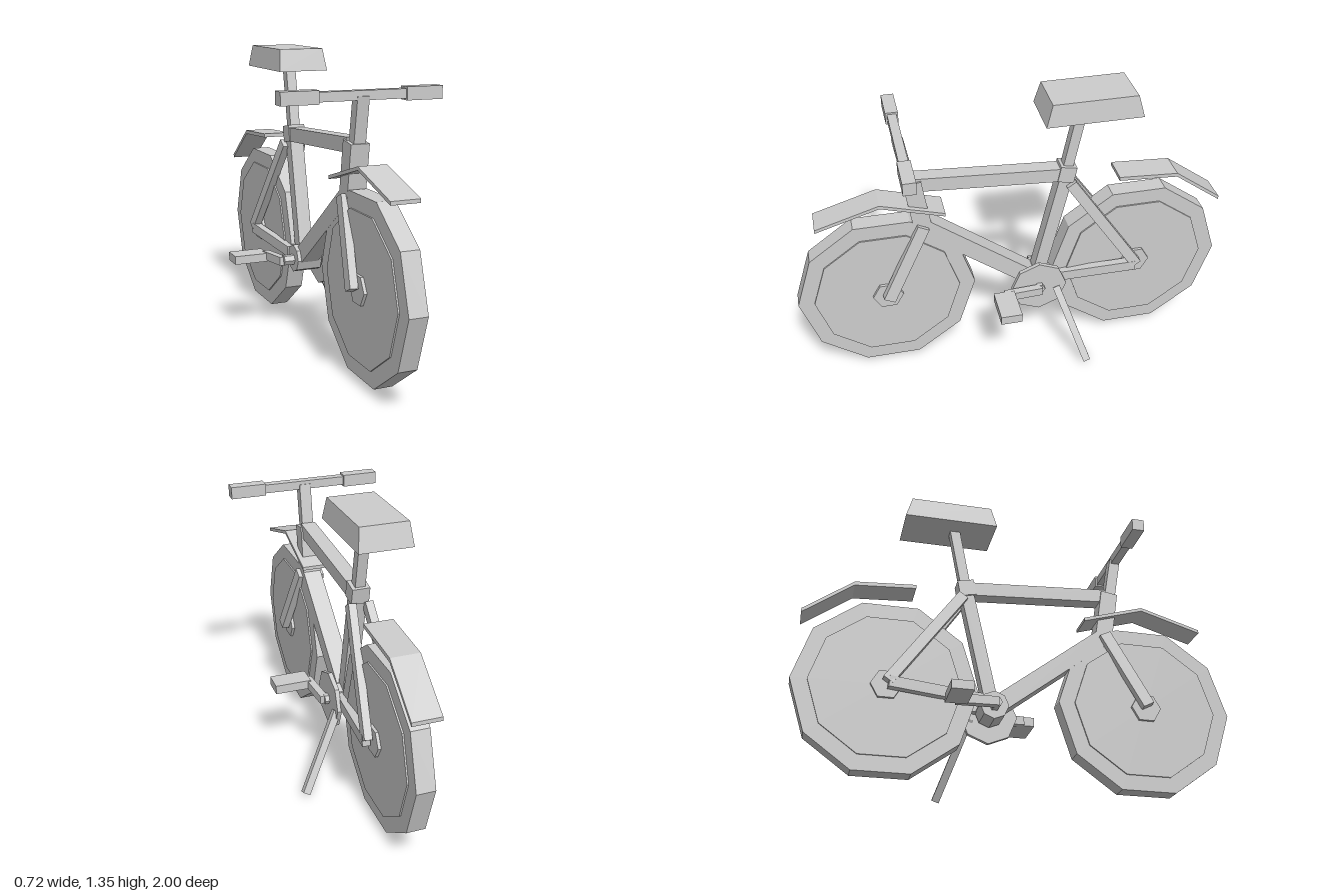
import * as THREE from 'three';

const material = new THREE.MeshStandardMaterial({ color: 0xcccccc, flatShading: true });

export function createModel() {
  const model = new THREE.Group();
  model.name = 'bicycle';

  const add = (name, geometry, parent = model) => {
    const mesh = new THREE.Mesh(geometry, material);
    mesh.name = name;
    parent.add(mesh);
    return mesh;
  };

  // Upright box given by its centre and size
  const box = (name, size, centre) =>
    add(name, new THREE.BoxGeometry(...size).translate(...centre));

  // Square tube from a to b, w wide across the bike and h deep
  const bar = (name, a, b, w, h = w) => {
    const start = new THREE.Vector3(...a), end = new THREE.Vector3(...b);
    const dir = end.clone().sub(start);
    const length = dir.length();
    dir.normalize();
    const side = new THREE.Vector3(1, 0, 0).addScaledVector(dir, -dir.x).normalize();
    const up = new THREE.Vector3().crossVectors(dir, side);
    const geometry = new THREE.BoxGeometry(w, h, length);
    geometry.applyMatrix4(new THREE.Matrix4().makeBasis(side, up, dir));
    const mid = start.add(end).multiplyScalar(0.5);
    return add(name, geometry.translate(mid.x, mid.y, mid.z));
  };

  // Faceted disc lying across the bike
  const disc = (name, radius, width, sides, [x, y, z], parent) =>
    add(name, new THREE.CylinderGeometry(radius, radius, width, sides)
      .rotateZ(Math.PI / 2).translate(x, y, z), parent);

  // Wheels: tyre, slightly raised inner disc and hub
  for (const [name, z] of [['frontWheel', 0.592], ['rearWheel', -0.592]]) {
    const wheel = new THREE.Group();
    wheel.name = name;
    model.add(wheel);
    disc('tyre', 0.408, 0.084, 10, [0, 0.42, z], wheel);
    disc('wheelDisc', 0.335, 0.098, 10, [0, 0.42, z], wheel);
    disc('hub', 0.07, 0.126, 6, [0, 0.42, z], wheel);
  }

  // Main frame
  bar('headTube', [0, 1.005, 0.445], [0, 0.77, 0.41], 0.085, 0.08);
  bar('topTube', [0, 0.99, 0.43], [0, 0.945, -0.24], 0.07, 0.065);
  bar('downTube', [0, 0.765, 0.405], [0, 0.385, -0.09], 0.085, 0.08);
  bar('seatTube', [0, 0.95, -0.25], [0, 0.4, -0.125], 0.065, 0.06);
  bar('seatCollar', [0, 0.985, -0.255], [0, 0.91, -0.24], 0.08, 0.075);

  // Fork blades and rear stays, mirrored
  for (const s of [-1, 1]) {
    bar('forkBlade', [s * 0.045, 0.775, 0.41], [s * 0.085, 0.42, 0.592], 0.036, 0.055);
    bar('seatStay', [s * 0.038, 0.9, -0.265], [s * 0.085, 0.425, -0.59], 0.036, 0.05);
    bar('chainStay', [s * 0.05, 0.39, -0.17], [s * 0.085, 0.42, -0.585], 0.036, 0.05);
  }
  bar('forkCrown', [-0.06, 0.775, 0.41], [0.06, 0.775, 0.41], 0.05);

  // Stem, handlebar and grips
  bar('stem', [0, 1.2, 0.487], [0, 0.98, 0.45], 0.054, 0.05);
  box('handlebar', [0.42, 0.04, 0.04], [0, 1.2, 0.487]);
  for (const s of [-1, 1]) box('grip', [0.165, 0.056, 0.056], [s * 0.277, 1.2, 0.487]);

  // Seat post and tapered seat
  bar('seatPost', [0, 1.26, -0.31], [0, 0.96, -0.25], 0.046);
  const seat = new THREE.BoxGeometry(0.234, 0.1, 0.43);
  const corners = seat.attributes.position;
  for (let i = 0; i < corners.count; i++) {
    if (corners.getY(i) > 0) {
      corners.setX(i, corners.getX(i) * 0.9);
      corners.setZ(i, corners.getZ(i) * 0.87);
    }
  }
  seat.computeVertexNormals();
  add('seat', seat.translate(0, 1.3, -0.34));

  // Fenders: bent strips, outline points are [z, y] along the upper side
  const fender = (name, points, thickness) => {
    const lower = points.map(([z, y]) => [z, y - thickness]).reverse();
    const shape = new THREE.Shape([...points, ...lower].map((p) => new THREE.Vector2(...p)));
    const geometry = new THREE.ExtrudeGeometry(shape, { depth: 0.13, bevelEnabled: false });
    add(name, geometry.translate(0, 0, -0.065).rotateY(-Math.PI / 2));
  };
  fender('frontFender', [[0.88, 0.845], [0.595, 0.93], [0.31, 0.845]], 0.016);
  fender('rearFender', [[-0.485, 0.916], [-0.76, 0.898], [-0.98, 0.738]], 0.018);

  // Bottom bracket, chainring, cranks and pedals
  disc('bottomBracket', 0.065, 0.12, 8, [0, 0.37, -0.115]);
  disc('chainring', 0.132, 0.02, 8, [0.08, 0.365, -0.115]);
  disc('crankAxle', 0.025, 0.22, 6, [0, 0.365, -0.115]);
  bar('leftCrank', [0.112, 0.365, -0.12], [0.132, 0.375, 0.06], 0.034, 0.04);
  bar('rightCrank', [-0.112, 0.362, -0.11], [-0.132, 0.35, -0.3], 0.034, 0.04);
  box('leftPedal', [0.17, 0.042, 0.098], [0.215, 0.377, 0.064]);
  box('rightPedal', [0.165, 0.04, 0.098], [-0.22, 0.348, -0.3]);

  // Kickstand
  bar('kickstand', [0.08, 0.345, -0.2], [0.268, 0.012, -0.313], 0.034, 0.034);

  return model;
}
